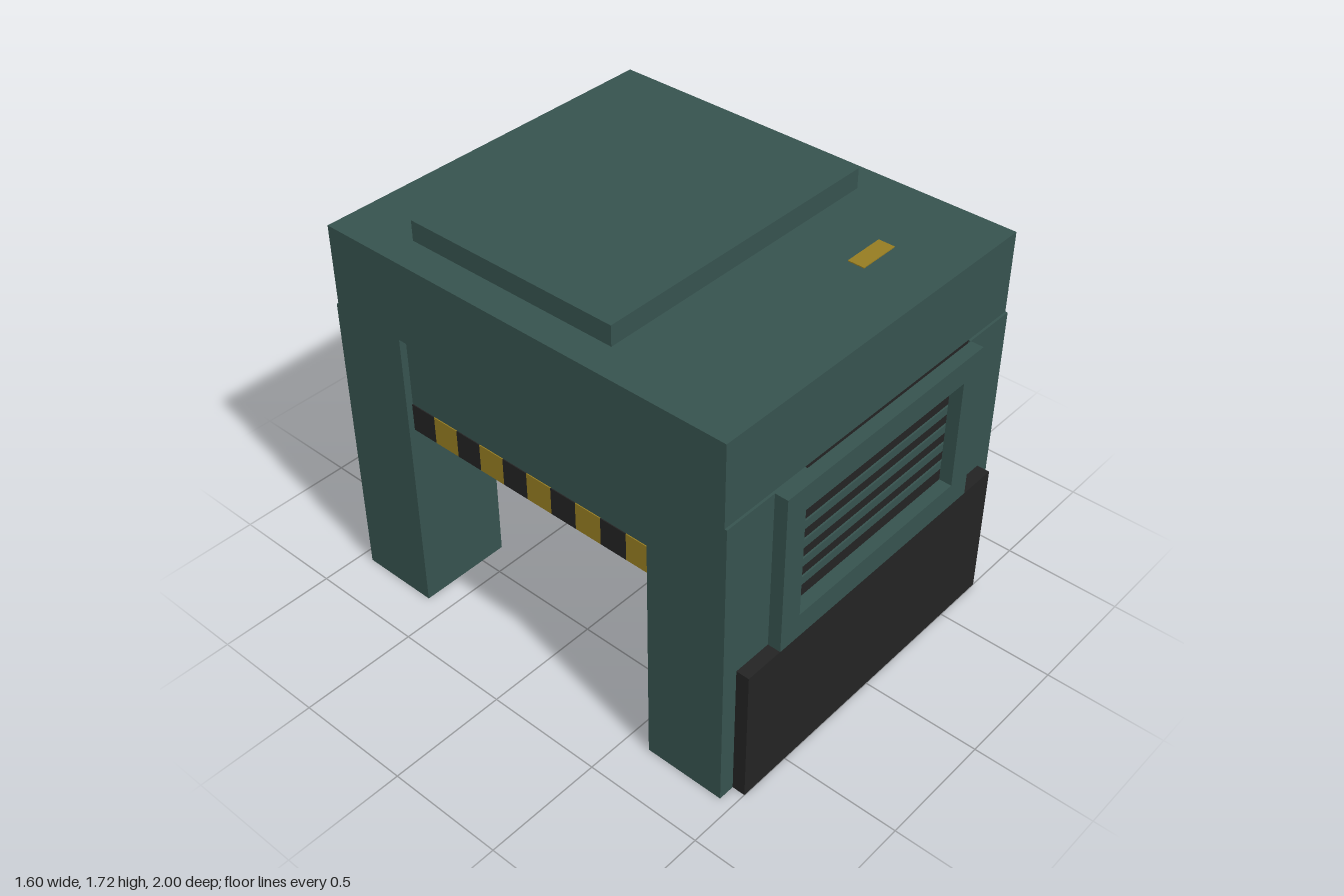
import * as THREE from 'three';

const teal = new THREE.MeshStandardMaterial({ color: 0x36524e });
teal.name = 'dark teal paint';
const black = new THREE.MeshStandardMaterial({ color: 0x232323 });
black.name = 'black rubber';
const amber = new THREE.MeshStandardMaterial({ color: 0x957c22 });
amber.name = 'amber paint';

// Box given by its minimum and maximum corners
function box(name, mat, x0, x1, y0, y1, z0, z1) {
  const mesh = new THREE.Mesh(new THREE.BoxGeometry(x1 - x0, y1 - y0, z1 - z0), mat);
  mesh.position.set((x0 + x1) / 2, (y0 + y1) / 2, (z0 + z1) / 2);
  mesh.name = name;
  return mesh;
}

function trace(path, x0, x1, y0, y1) {
  path.moveTo(x0, y0).lineTo(x1, y0).lineTo(x1, y1).lineTo(x0, y1).closePath();
  return path;
}

// Rectangle with a rectangular hole, extruded along z
function frameGeometry(outer, inner, depth) {
  const shape = trace(new THREE.Shape(), ...outer);
  shape.holes.push(trace(new THREE.Path(), ...inner));
  return new THREE.ExtrudeGeometry(shape, { depth, bevelEnabled: false });
}

// Hollow leg, open at the bottom
function leg(name, x0, x1, z0, z1) {
  const t = 0.02;
  const geo = frameGeometry([x0, x1, -z1, -z0], [x0 + t, x1 - t, -z1 + t, -z0 - t], 1.29);
  geo.rotateX(-Math.PI / 2);
  const mesh = new THREE.Mesh(geo, teal);
  mesh.name = name;
  return mesh;
}

// End wall: two legs, bumper panel, vent frame and louvres
function endWall(name, s) {
  const wall = new THREE.Group();
  wall.name = name;
  const zBox = (n, m, x0, x1, y0, y1, a, b) =>
    wall.add(box(n, m, x0, x1, y0, y1, Math.min(s * a, s * b), Math.max(s * a, s * b)));

  const [z0, z1] = s > 0 ? [0.6, 0.945] : [-0.945, -0.6];
  wall.add(leg('wideLeg', -0.8, -0.39, z0, z1), leg('narrowLeg', 0.56, 0.8, z0, z1));
  zBox('bumperPanel', black, -0.73, 0.73, 0, 0.6, 0.945, 1);
  zBox('ventBacking', black, -0.39, 0.56, 0.6, 1.29, 0.91, 0.935);

  const frame = new THREE.Mesh(
    frameGeometry([-0.56, 0.56, 0.6, 1.29], [-0.46, 0.455, 0.705, 1.185], 0.055), teal);
  frame.position.z = s > 0 ? 0.945 : -1;
  frame.name = 'ventFrame';
  wall.add(frame);

  for (let i = 0; i < 5; i++) {
    const y = 1.135 - i * 0.0866;
    zBox('louvre', teal, -0.39, 0.56, y - 0.0366, y, 0.935, 0.942);
  }
  return wall;
}

// Header over the side opening with a hazard stripe along its lower edge
function sideHeader(name) {
  const header = new THREE.Group();
  header.name = name;
  header.add(box('headerPanel', teal, 0.63, 0.77, 0.86, 1.29, -0.6, 0.6));
  for (let i = 0; i < 10; i++) {
    const z = 0.6 - i * 0.12;
    header.add(box('hazardBlock', i % 2 ? amber : black, 0.77, 0.774, 0.86, 0.98, z - 0.12, z));
  }
  return header;
}

export function createModel() {
  const model = new THREE.Group();
  model.name = 'gateHousing';

  // Roof
  model.add(box('roofBlock', teal, -0.8, 0.8, 1.29, 1.635, -0.935, 0.935));
  model.add(box('roofHatch', teal, -0.665, 0.665, 1.635, 1.72, -0.63, 0.33));
  model.add(box('roofMarker', amber, 0.25, 0.43, 1.635, 1.639, 0.6, 0.67));

  // End walls
  model.add(endWall('frontWall', 1), endWall('backWall', -1));

  // Side headers, the second turned half way round
  const rightHeader = sideHeader('rightHeader');
  rightHeader.rotation.y = Math.PI;
  model.add(sideHeader('leftHeader'), rightHeader);
  return model;
}
